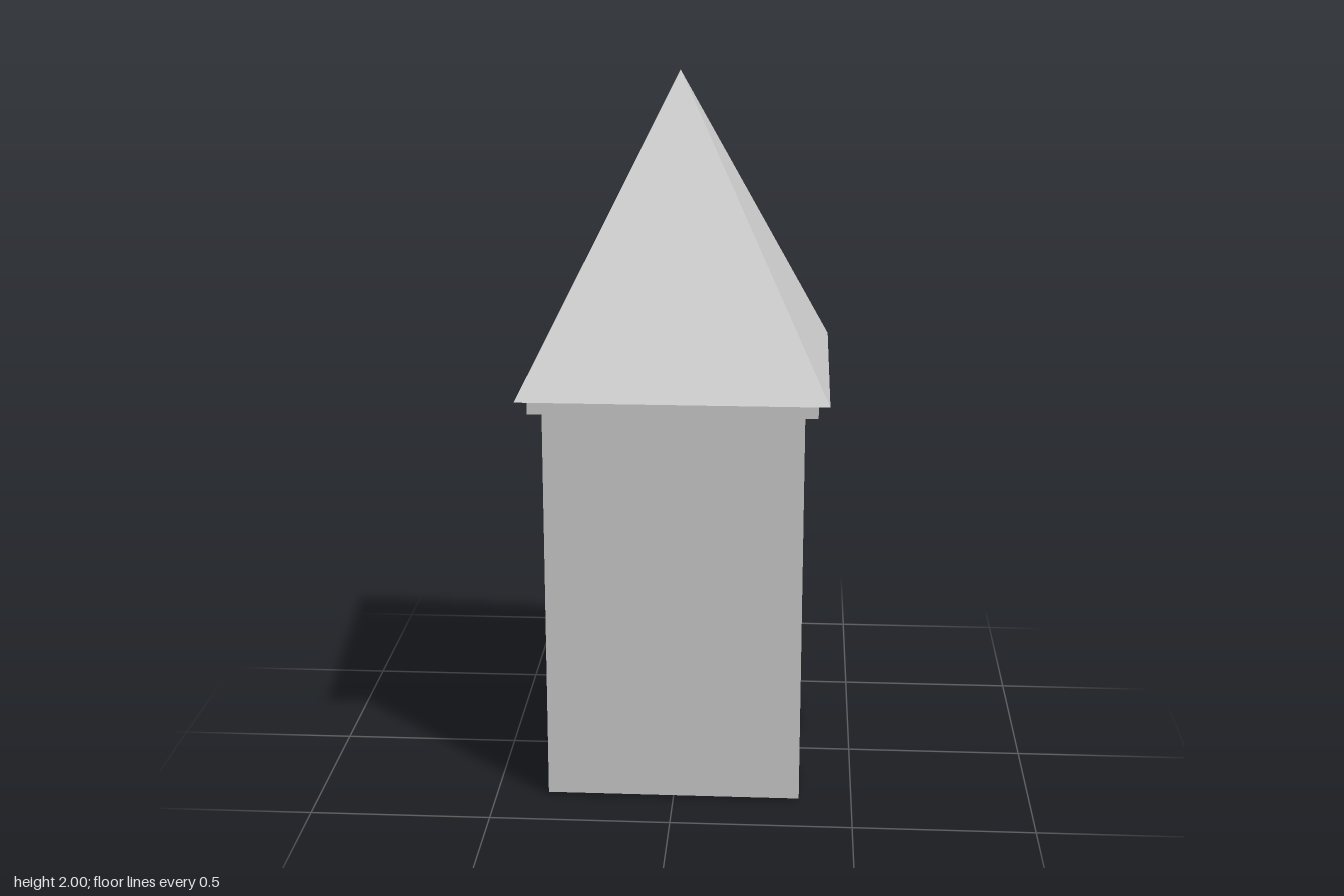
import * as THREE from 'three';

const material = new THREE.MeshStandardMaterial({ color: 0xcccccc, flatShading: true });

const HALF = 0.353;      // half width of the tower
const WALL = 0.04;       // wall thickness
const BASE = 0.01;       // underside of the walls
const EAVES = 1.13;      // top of the walls
const CORNICE_TOP = 1.17;

function extrude(points, depth) {
  const shape = new THREE.Shape(points.map(([x, y]) => new THREE.Vector2(x, y)));
  return new THREE.ExtrudeGeometry(shape, { depth, bevelEnabled: false });
}

export function createModel() {
  const group = new THREE.Group();
  const add = (name, geometry) => {
    const mesh = new THREE.Mesh(geometry, material);
    mesh.name = name;
    group.add(mesh);
  };

  // Three plain walls: a U-shaped plan, open towards +x
  const inner = HALF - WALL;
  const plan = [
    [inner, -HALF], [inner, -inner], [-inner, -inner], [-inner, inner],
    [inner, inner], [inner, HALF], [-HALF, HALF], [-HALF, -HALF],
  ];
  add('plainWalls', extrude(plan, EAVES - BASE).rotateX(-Math.PI / 2).translate(0, BASE, 0));

  // Wall with the doorway; its foot dips slightly beside the opening
  const half = [[HALF, EAVES], [HALF, BASE], [0.28, BASE], [0.22, 0.003], [0.145, 0],
    [0.145, 0.57], [0.14, 0.575]];
  const mirrored = half.map(([x, y]) => [-x, y]).reverse();
  add('doorWall', extrude([...half, ...mirrored], WALL).rotateY(Math.PI / 2).translate(inner, 0, 0));

  // Cornice slab under the roof
  add('cornice', new THREE.BoxGeometry(0.776, CORNICE_TOP - EAVES, 0.776)
    .translate(0, (CORNICE_TOP + EAVES) / 2, 0));

  // Four-sided pyramid roof
  const height = 2 - CORNICE_TOP;
  add('roof', new THREE.ConeGeometry(0.418 * Math.SQRT2, height, 4)
    .rotateY(Math.PI / 4).translate(0, CORNICE_TOP + height / 2, 0));

  return group;
}
